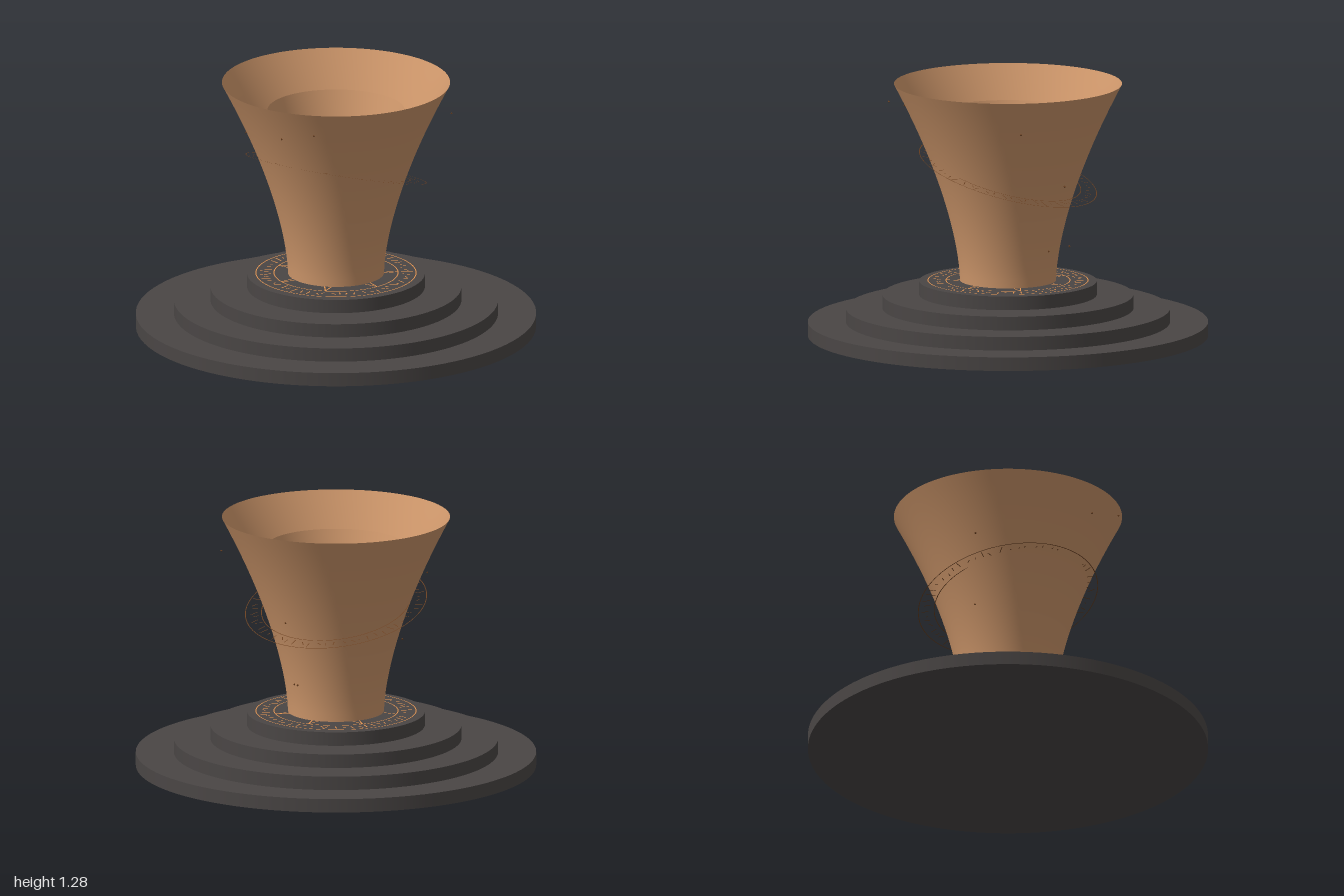
import * as THREE from 'three';
import { mergeGeometries } from 'three/addons/utils/BufferGeometryUtils.js';

const flat = (color, side = THREE.FrontSide) => new THREE.MeshStandardMaterial({ color, side });

// Small seeded generator for the irregular rune marks
function seeded(seed) {
  return () => (seed = (seed * 16807) % 2147483647) / 2147483647;
}

// Thin line in the xz plane between two points
function line(x1, z1, x2, z2, width) {
  const g = new THREE.PlaneGeometry(Math.hypot(x2 - x1, z2 - z1), width);
  g.rotateX(-Math.PI / 2);
  g.rotateY(-Math.atan2(z2 - z1, x2 - x1));
  return g.translate((x1 + x2) / 2, 0, (z1 + z2) / 2);
}

// Thin circle in the xz plane
const circle = (r, width) =>
  new THREE.RingGeometry(r - width / 2, r + width / 2, 96).rotateX(-Math.PI / 2);

// Short strokes scattered around a band
function runes(inner, outer, count, width, seed) {
  const rand = seeded(seed), parts = [], depth = outer - inner;
  for (let i = 0; i < count; i++) {
    const a = (i / count) * Math.PI * 2;
    const b = a + (rand() - 0.5) * 0.12;
    const r1 = inner + depth * (0.1 + 0.35 * rand());
    const r2 = inner + depth * (0.5 + 0.4 * rand());
    parts.push(line(r1 * Math.cos(a), r1 * Math.sin(a), r2 * Math.cos(b), r2 * Math.sin(b), width));
  }
  return parts;
}

// Open flared tube
function flare(r0, r1, y0, y1) {
  const points = [];
  for (let i = 0; i <= 24; i++) {
    const t = i / 24;
    points.push(new THREE.Vector2(r0 + (r1 - r0) * t ** 1.6, y0 + (y1 - y0) * t));
  }
  return new THREE.LatheGeometry(points, 96);
}

export function createModel() {
  const model = new THREE.Group();
  const stone = flat(0x4a4645);
  const tan = flat(0xcd966a, THREE.DoubleSide);
  const orange = flat(0xe8954f, THREE.DoubleSide);
  const brown = flat(0x6b4020, THREE.DoubleSide);
  stone.name = 'dark stone';
  tan.name = 'tan';
  orange.name = 'glowing orange';
  brown.name = 'dark brown';

  const add = (name, geometry, material, parent = model) => {
    const mesh = new THREE.Mesh(geometry, material);
    mesh.name = name;
    parent.add(mesh);
    return mesh;
  };

  // Stepped round base
  const base = new THREE.Group();
  base.name = 'steppedBase';
  model.add(base);
  [1, 0.81, 0.627, 0.444].forEach((r, i) => {
    add('step' + (i + 1), new THREE.CylinderGeometry(r, r, 0.069, 96), stone, base)
      .position.y = 0.0345 + i * 0.069;
  });

  // Outer and inner flared columns
  add('outerFlare', flare(0.24, 0.57, 0.28, 1.277), tan);
  add('innerFlare', flare(0.17, 0.343, 0.28, 1.13), tan);

  // Engraved circle on the top step: rings, strokes and a seven-pointed star
  const engraving = [0.12, 0.31, 0.4].map((r) => circle(r, 0.005));
  engraving.push(...runes(0.12, 0.17, 26, 0.005, 11), ...runes(0.315, 0.395, 56, 0.006, 23));
  const tip = (k) => {
    const a = (k / 7) * Math.PI * 2 - Math.PI / 2;
    return [0.31 * Math.cos(a), 0.31 * Math.sin(a)];
  };
  for (let k = 0; k < 7; k++) engraving.push(line(...tip(k), ...tip(k + 3), 0.006));
  add('engravedCircle', mergeGeometries(engraving), orange).position.y = 0.279;

  // Tilted floating rune ring, higher at the front
  const ring = [circle(0.456, 0.004), circle(0.375, 0.004), ...runes(0.375, 0.456, 60, 0.004, 57)];
  const floating = add('floatingRing', mergeGeometries(ring), brown);
  floating.position.y = 0.825;
  floating.rotation.x = -0.275;

  // Drifting specks around the column
  const specks = new THREE.Group();
  specks.name = 'specks';
  model.add(specks);
  [
    [0.25, 1.18, 0.54], [0.06, 1.13, 0.55], [-0.41, 0.99, 0.2], [-0.32, 0.66, 0.1],
    [0.48, 1.12, -0.32], [0.1, 0.8, -0.37], [0.05, 0.49, -0.37], [0.08, 0.46, -0.27],
  ].forEach((p) => add('speck', new THREE.OctahedronGeometry(0.006), brown, specks).position.set(...p));

  return model;
}
